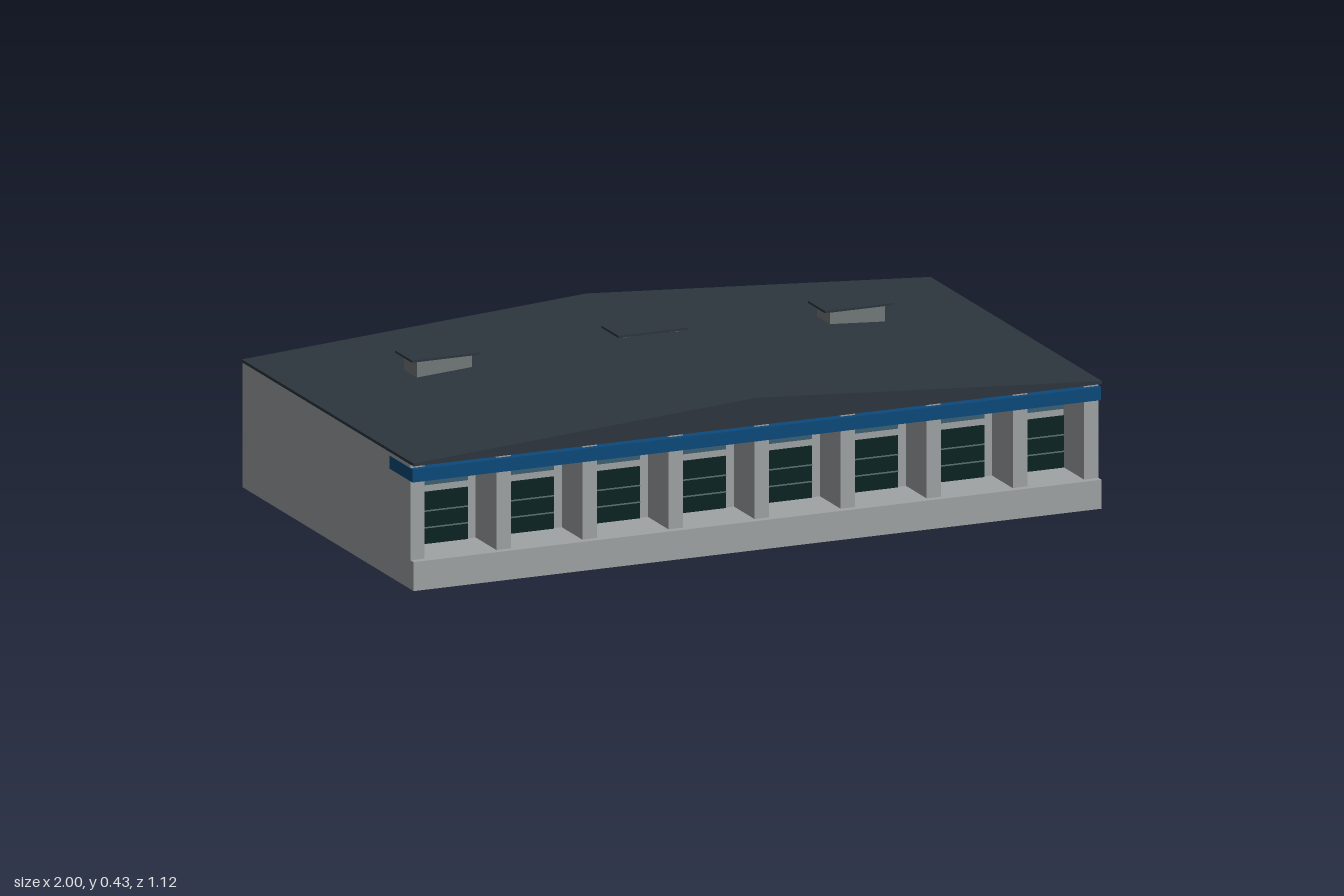
import * as THREE from 'three';

const mat = (name, color, extra = {}) => {
  const m = new THREE.MeshStandardMaterial({ color, ...extra });
  m.name = name;
  return m;
};

export function createModel() {
  const wall = mat('concrete', 0xa0a4a5);
  const roofMat = mat('darkRoof', 0x2d363e);
  const blue = mat('blueFascia', 0x0c4a7c);
  const doorMat = mat('doorPanel', 0x0d2424);
  const seamMat = mat('doorSeam', 0x5c7072);
  const glass = mat('windowGlass', 0x3d6074);
  const ventMat = mat('ventGrey', 0x74797b);

  const model = new THREE.Group();
  model.name = 'loadingBayBuilding';

  // Box given by its minimum and maximum corners
  const box = (name, material, x0, x1, y0, y1, z0, z1, parent = model) => {
    const mesh = new THREE.Mesh(new THREE.BoxGeometry(x1 - x0, y1 - y0, z1 - z0), material);
    mesh.position.set((x0 + x1) / 2, (y0 + y1) / 2, (z0 + z1) / 2);
    mesh.name = name;
    parent.add(mesh);
    return mesh;
  };

  // Main hall and the raised dock in front of it
  const front = 0.405;
  box('hall', wall, -0.999, 0.999, 0, 0.346, -0.56, front);
  box('dock', wall, -0.999, 0.999, 0, 0.08, front, 0.56);

  // Eight bays, each with a pier, sectional door and window above
  for (let i = 0; i < 8; i++) {
    const x = -1 + i * 0.25;
    const bay = new THREE.Group();
    bay.name = 'bay' + (i + 1);
    model.add(bay);
    box('pier', wall, i ? x : -0.999, x + 0.042, 0.08, 0.346, front, 0.54, bay);
    const l = x + 0.042, r = x + 0.225;
    box('door', doorMat, l, r, 0.08, 0.223, front, front + 0.005, bay);
    for (const y of [0.125, 0.171])
      box('doorSeam', seamMat, l, r, y - 0.0018, y + 0.0018, front + 0.003, front + 0.007, bay);
    box('window', glass, l, r, 0.242, 0.295, front, front + 0.005, bay);
  }
  box('endPier', wall, 0.957, 0.999, 0.08, 0.346, front, 0.54);

  // Blue canopy over the dock
  box('canopy', blue, -1, 1, 0.298, 0.334, front, 0.555);

  // Shallow gabled roof
  const gable = new THREE.Shape();
  gable.moveTo(-1, 0.344);
  gable.lineTo(1, 0.344);
  gable.lineTo(1, 0.352);
  gable.lineTo(0, 0.42);
  gable.lineTo(-1, 0.352);
  gable.closePath();
  const roofGeo = new THREE.ExtrudeGeometry(gable, { depth: 1.122, bevelEnabled: false });
  roofGeo.translate(0, 0, -0.561);
  const roof = new THREE.Mesh(roofGeo, roofMat);
  roof.name = 'roof';
  model.add(roof);

  // Capped roof vents
  for (const x of [-0.6, 0, 0.6]) {
    const vent = new THREE.Group();
    vent.name = 'roofVent';
    model.add(vent);
    box('ventBody', ventMat, x - 0.08, x + 0.08, 0.37, 0.42, -0.222, -0.138, vent);
    box('ventCap', roofMat, x - 0.1, x + 0.1, 0.42, 0.426, -0.235, -0.125, vent);
  }
  return model;
}
